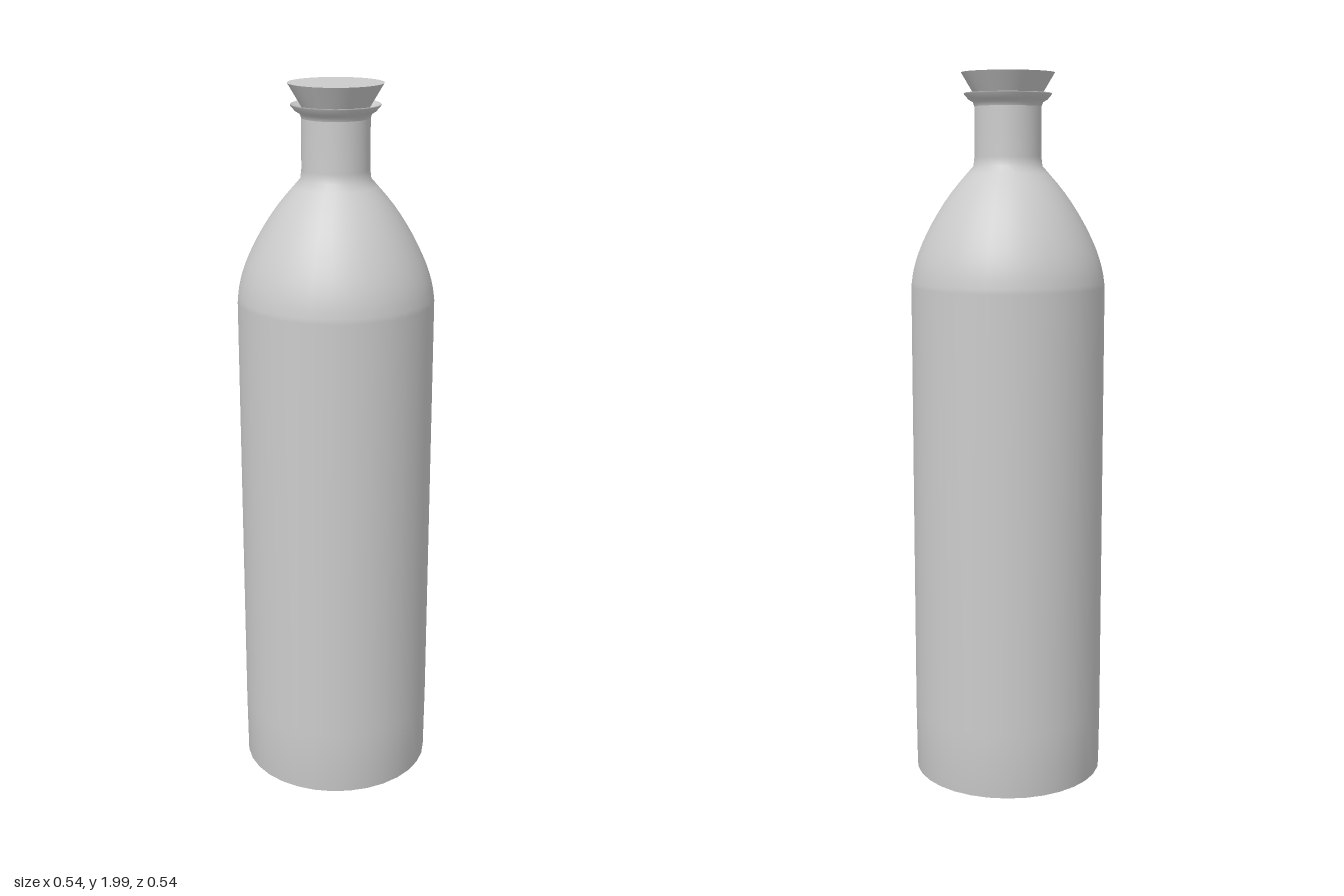
import * as THREE from 'three';

const lathe = (name, points, segments, material) => {
  const profile = points.map(([r, y]) => new THREE.Vector2(r, y));
  const mesh = new THREE.Mesh(new THREE.LatheGeometry(profile, segments), material);
  mesh.name = name;
  return mesh;
};

export function createModel() {
  const group = new THREE.Group();
  group.name = 'bottle';
  const glass = new THREE.MeshStandardMaterial({ color: 0xcccccc, side: THREE.DoubleSide });

  // Curved shoulder between the straight body and the neck
  const shoulder = new THREE.SplineCurve([
    [0.27, 1.42], [0.262, 1.47], [0.242, 1.53], [0.205, 1.604], [0.155, 1.68], [0.095, 1.75],
  ].map(([r, y]) => new THREE.Vector2(r, y))).getPoints(14).map((p) => [p.x, p.y]);

  // Base, body, shoulder and neck as one smooth shell
  group.add(lathe('body', [
    [0, 0.008], [0.18, 0.008], [0.25, 0.009], [0.268, 0.014], [0.27, 0.2],
    ...shoulder,
    [0.092, 1.775], [0.092, 1.91],
  ], 32, glass));

  // Thin flared lip around the mouth
  group.add(lathe('lip', [
    [0.092, 1.91], [0.096, 1.921], [0.108, 1.928], [0.121, 1.943], [0.119, 1.946],
    [0.106, 1.934], [0.092, 1.927], [0.084, 1.91],
  ], 32, glass));

  // Tapered stopper seated in the mouth
  const stopper = new THREE.Mesh(new THREE.CylinderGeometry(0.128, 0.068, 0.1, 64), glass);
  stopper.name = 'stopper';
  stopper.position.y = 1.95;
  group.add(stopper);

  return group;
}
